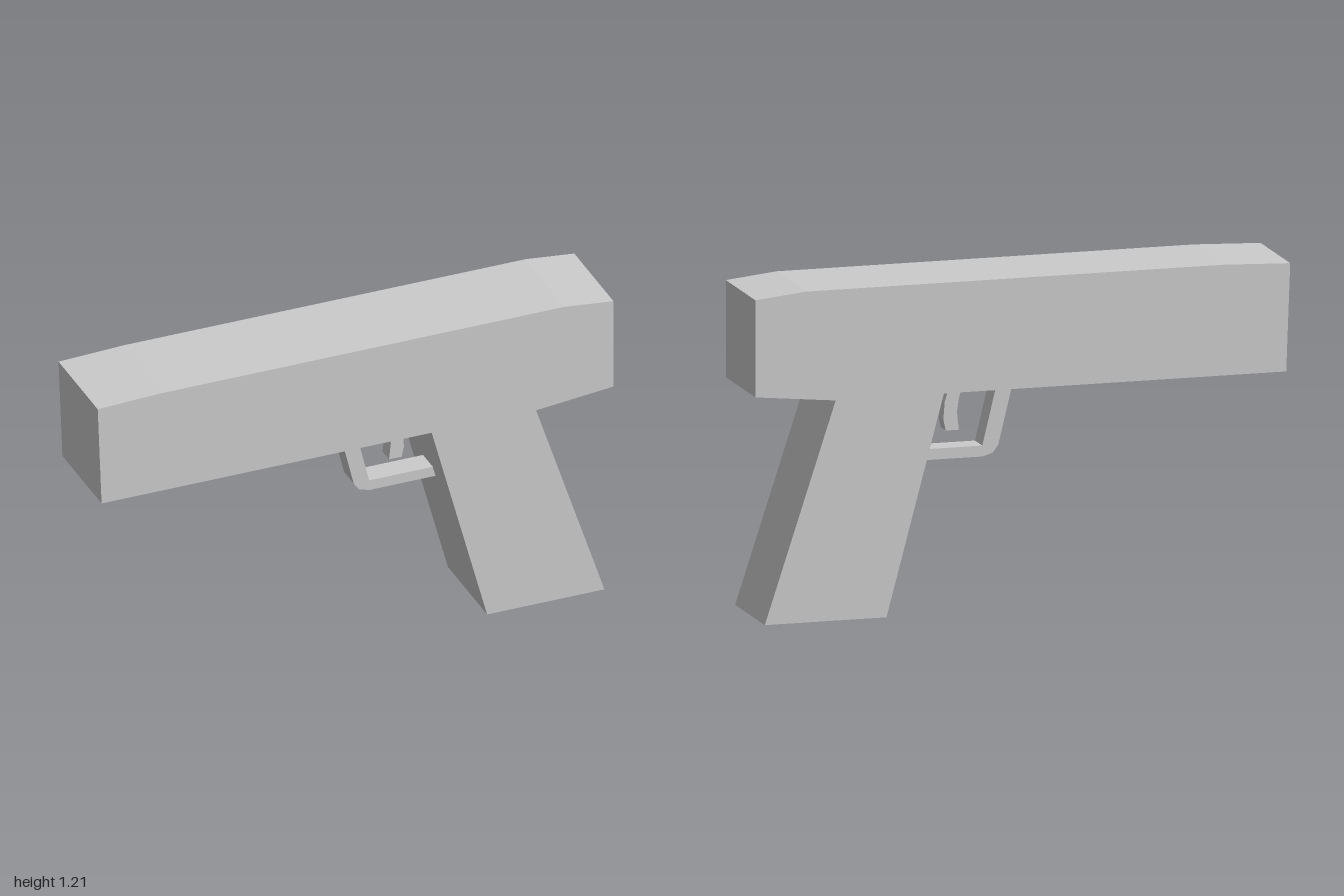
import * as THREE from 'three';

const material = new THREE.MeshStandardMaterial({ color: 0xcccccc, flatShading: true });

// Extrudes a side outline to a given width, centred on z = 0
function plate(name, outline, width) {
  const shape = new THREE.Shape(outline.map(([x, y]) => new THREE.Vector2(x, y)));
  const geometry = new THREE.ExtrudeGeometry(shape, { depth: width, bevelEnabled: false });
  geometry.translate(0, 0, -width / 2);
  const mesh = new THREE.Mesh(geometry, material);
  mesh.name = name;
  return mesh;
}

export function createModel() {
  const group = new THREE.Group();
  group.name = 'toyPistol';

  // Barrel housing and raked grip share one outline
  group.add(plate('bodyAndGrip', [
    [-0.985, 0.805], [0.295, 0.805], [0.51, 0], [0.965, 0], [0.7, 0.805],
    [1, 0.835], [1, 1.19], [0.81, 1.21], [-0.75, 1.21], [-1, 1.2],
  ], 0.362));

  // Thin bent guard running from the housing back into the grip
  group.add(plate('triggerGuard', [
    [-0.007, 0.81], [0.05, 0.575], [0.07, 0.547], [0.11, 0.535],
    [0.38, 0.535], [0.38, 0.575], [0.11, 0.575], [0.053, 0.81],
  ], 0.09));

  // Curved trigger
  group.add(plate('trigger', [
    [0.172, 0.81], [0.192, 0.755], [0.2, 0.7], [0.193, 0.635],
    [0.242, 0.635], [0.251, 0.675], [0.246, 0.74], [0.224, 0.81],
  ], 0.06));

  return group;
}
